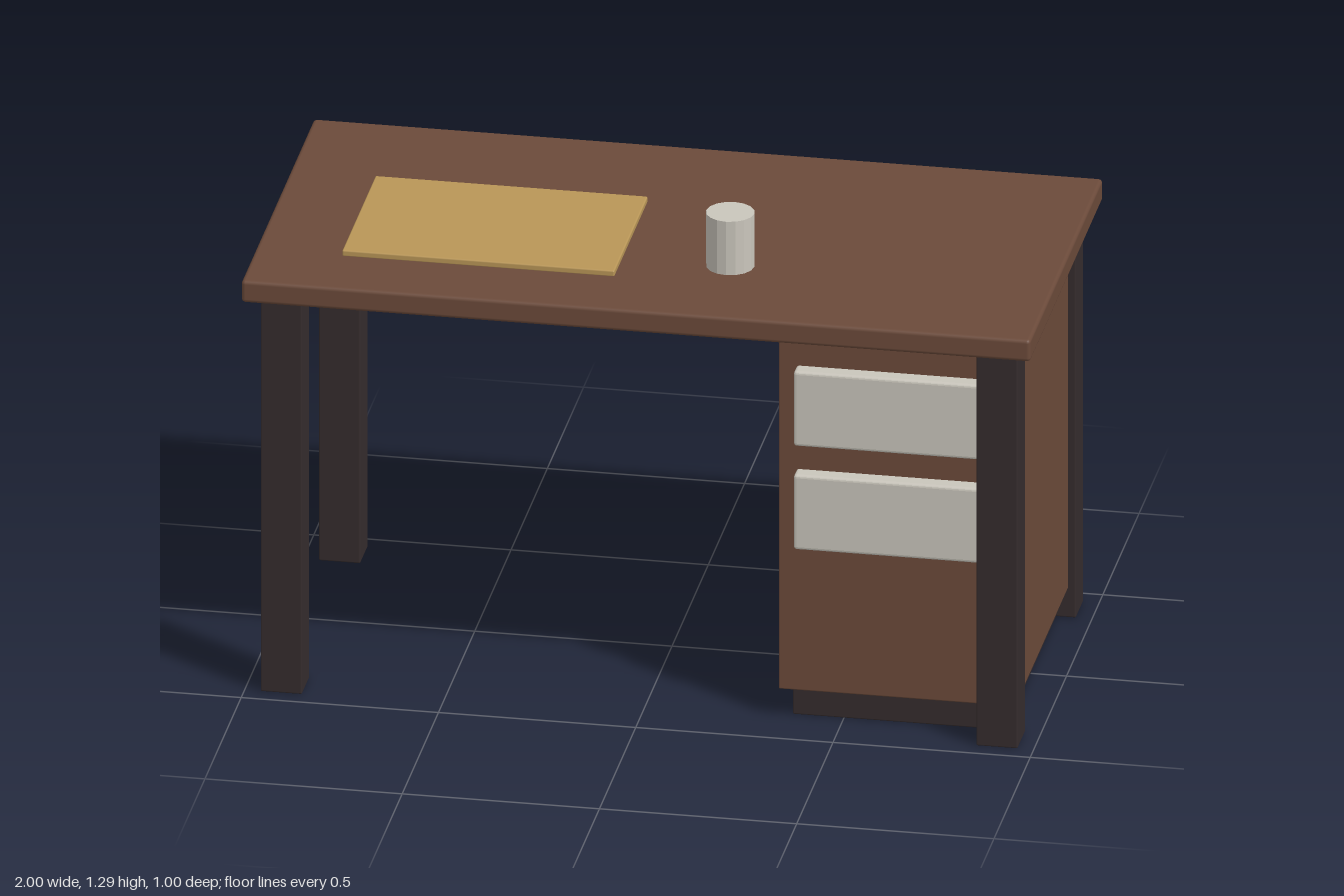
import * as THREE from 'three';
import { RoundedBoxGeometry } from 'three/addons/geometries/RoundedBoxGeometry.js';

function material(name, color, flatShading = false) {
  const m = new THREE.MeshStandardMaterial({ color, flatShading });
  m.name = name;
  return m;
}

export function createModel() {
  const desk = new THREE.Group();
  desk.name = 'desk';

  const wood = material('brown wood', 0x6b4a3a);
  const dark = material('dark wood', 0x352c2d);
  const grey = material('warm grey', 0xc9c5bb, true);
  const tan = material('tan', 0xb99657);

  // Box given by its extents, with slightly softened edges
  function box(name, mat, [x0, x1], [y0, y1], [z0, z1], radius = 0.004) {
    const geo = new RoundedBoxGeometry(x1 - x0, y1 - y0, z1 - z0, 2, radius);
    const mesh = new THREE.Mesh(geo, mat);
    mesh.name = name;
    mesh.position.set((x0 + x1) / 2, (y0 + y1) / 2, (z0 + z1) / 2);
    desk.add(mesh);
    return mesh;
  }

  // Tabletop
  box('tabletop', wood, [-1, 1], [1.08, 1.14], [-0.5, 0.5], 0.01);

  // Four legs
  for (const sx of [-1, 1]) {
    for (const sz of [-1, 1]) {
      const leg = box('leg', dark, [-0.0525, 0.0525], [0, 1.082], [-0.0525, 0.0525]);
      leg.position.x = sx * 0.907;
      leg.position.z = sz * 0.402;
    }
  }

  // Drawer cabinet on its recessed plinth
  box('cabinet', wood, [0.34, 0.94], [0.08, 1.082], [-0.38, 0.38]);
  box('plinth', dark, [0.37, 0.91], [0, 0.085], [-0.35, 0.35]);

  // Drawer fronts
  for (const y of [0.482, 0.765]) {
    box('drawerFront', grey, [0.385, 0.89], [y, y + 0.204], [0.37, 0.42], 0.008);
  }

  // Desk mat
  box('deskMat', tan, [-0.78, -0.09], [1.138, 1.155], [-0.155, 0.305], 0.004);

  // Cup
  const cup = new THREE.Mesh(new THREE.CylinderGeometry(0.061, 0.061, 0.147, 16), grey);
  cup.name = 'cup';
  cup.position.set(0.182, 1.2125, 0.186);
  desk.add(cup);

  return desk;
}
